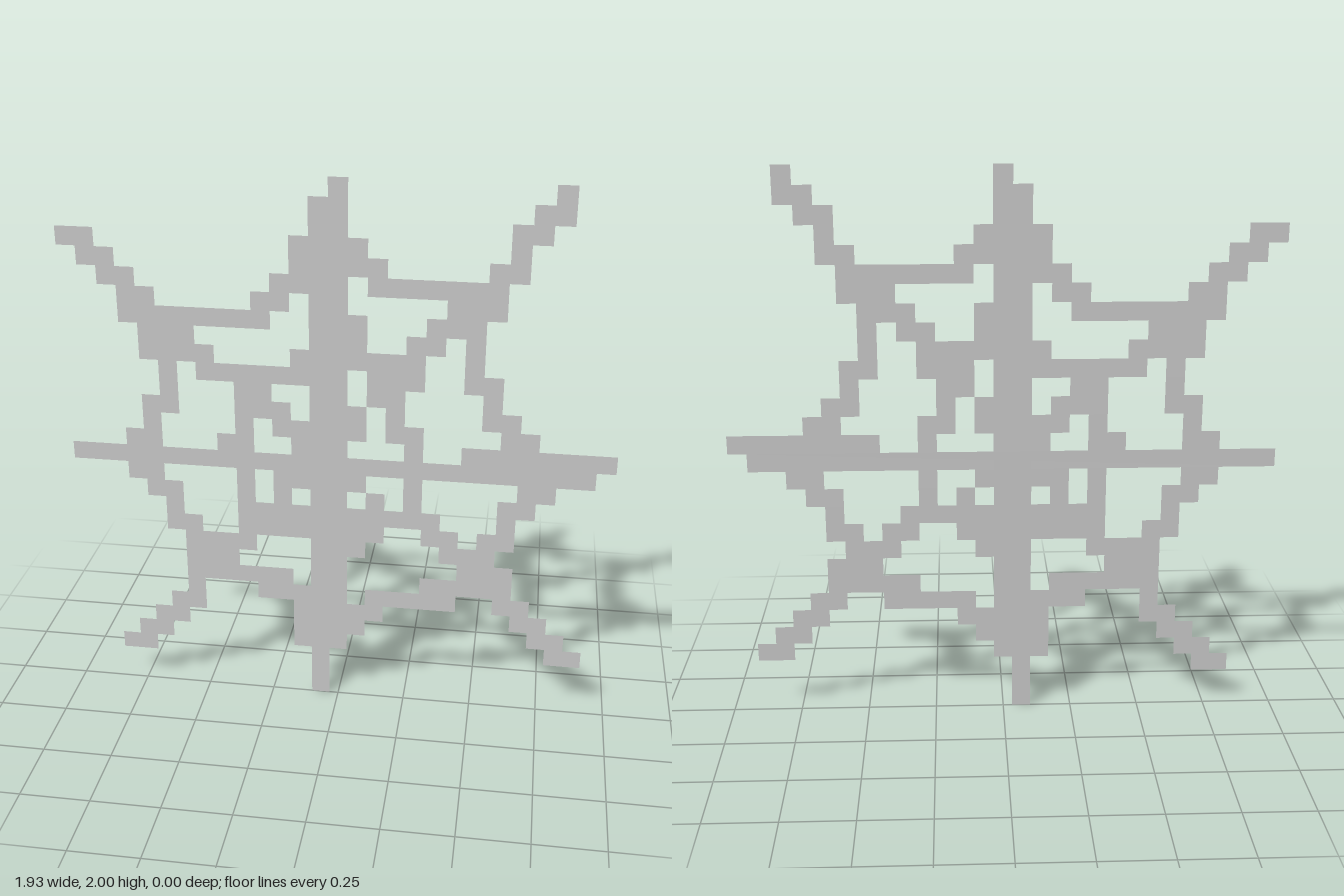
import * as THREE from 'three';
import { mergeGeometries } from 'three/addons/utils/BufferGeometryUtils.js';

const CELL = 2 / 30;   // one square of the 29 x 30 stepped grid
const COLS = 29;

export function createModel() {
  const web = new THREE.Group();
  web.name = 'steppedWeb';
  const material = new THREE.MeshStandardMaterial({ color: 0xcccccc, side: THREE.DoubleSide });

  // A flat part made of one horizontal run of squares per row, going down from firstRow.
  // Each run is [first column, last column].
  function part(name, firstRow, runs) {
    const strips = runs.map(([a, b], i) => {
      const strip = new THREE.PlaneGeometry((b - a + 1) * CELL, CELL);
      strip.translate(((a + b + 1) / 2 - COLS / 2) * CELL, 2 - (firstRow + i + 0.5) * CELL, 0);
      return strip;
    });
    const mesh = new THREE.Mesh(mergeGeometries(strips), material);
    mesh.name = name;
    web.add(mesh);
  }
  const repeat = (run, n) => Array.from({ length: n }, () => run);

  // Main spokes
  part('verticalSpoke', 0, [[14, 14], ...repeat([13, 14], 26), ...repeat([13, 13], 3)]);
  part('horizontalSpoke', 15, [[0, 27]]);

  // Diagonal spokes, with the threads that join them
  part('upperRightwardSpoke', 0, [[25, 25], [24, 25], [23, 24], [23, 23], [22, 23], [16, 22], [20, 22],
    [19, 21], [18, 19], [15, 18], [16, 18], [16, 17], [15, 15], [15, 15]]);
  part('upperLeftwardSpoke', 3, [[0, 1], [1, 2], [2, 3], [3, 4], [3, 10], [4, 6], [4, 7],
    [7, 12], [9, 10], [9, 11], [11, 12]]);
  part('lowerLeftwardSpoke', 16, [[11, 12], [11, 11], [9, 12], [9, 12], [6, 9], [6, 8], [6, 11],
    [6, 6], [5, 6], [4, 5], [3, 4], [2, 3]]);
  part('lowerRightwardSpoke', 16, [[15, 15], [16, 16], [15, 19], [19, 20], [20, 22], [21, 23], [19, 23],
    [23, 24], [24, 25], [25, 26], [26, 27]]);

  // Outer ring of threads
  part('outerThreadTopLeft', 3, [[12, 12], [12, 12], [11, 12], [10, 11]]);
  part('outerThreadTopRight', 3, [[15, 15], [15, 16]]);
  part('outerThreadUpperLeft', 10, [[5, 5], [5, 5], [4, 5], [4, 4], [3, 4]]);
  part('outerThreadUpperRight', 8, [[21, 21], [21, 21], [21, 22], [22, 22], [22, 23], [23, 24], [21, 28]]);
  part('outerThreadLowerLeft', 16, [[3, 4], [4, 5], [5, 5], [5, 6]]);
  part('outerThreadLowerRight', 16, [[24, 25], [23, 24], [23, 23], [22, 23]]);
  part('outerThreadBottomLeft', 23, [[10, 12], [12, 12], [12, 12], [12, 12]]);
  part('outerThreadBottomRight', 23, [[16, 20], [15, 16], [15, 15]]);

  // Inner ring of threads
  part('innerThreadTopLeft', 9, [[12, 12]]);
  part('innerThreadTopRight', 7, [[15, 15], [15, 15]]);
  part('innerThreadUpperLeft', 13, [[9, 9], [8, 9]]);
  part('innerThreadUpperRight', 12, [[17, 17], [17, 18], [18, 18]]);
  part('innerThreadLowerLeft', 16, repeat([9, 9], 2));
  part('innerThreadLowerRight', 16, repeat([18, 18], 2));
  part('innerThreadBottomRight', 19, [[15, 16], [15, 15]]);
  part('hub', 14, [[12, 14]]);

  return web;
}
